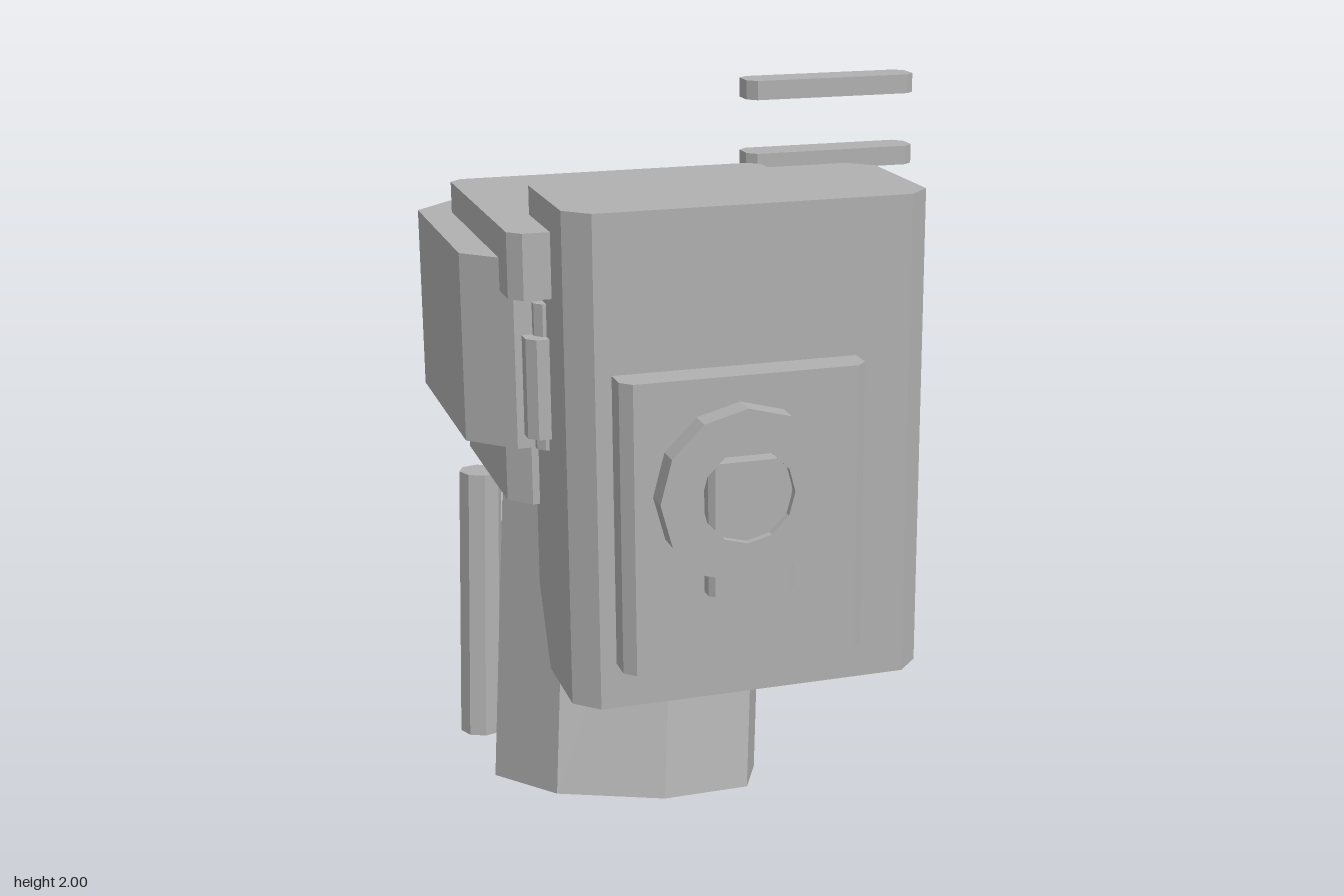
import * as THREE from 'three';

const gray = new THREE.MeshStandardMaterial({ color: 0xb0b0b0, flatShading: true });
gray.name = 'plain gray';

export function createModel() {
  const model = new THREE.Group();
  model.name = 'blockyFist';

  const add = (name, geometry) => {
    const mesh = new THREE.Mesh(geometry, gray);
    mesh.name = name;
    model.add(mesh);
    return mesh;
  };

  // Upright block whose four vertical edges are cut by c
  const block = (name, [x0, x1], [y0, y1], [z0, z1], c) => {
    const outline = [
      [x0 + c, -z1], [x1 - c, -z1], [x1, -z1 + c], [x1, -z0 - c],
      [x1 - c, -z0], [x0 + c, -z0], [x0, -z0 - c], [x0, -z1 + c],
    ].map(([x, y]) => new THREE.Vector2(x, y));
    const geometry = new THREE.ExtrudeGeometry(new THREE.Shape(outline), { depth: y1 - y0, bevelEnabled: false });
    geometry.rotateX(-Math.PI / 2).translate(0, y0, 0);
    return add(name, geometry);
  };

  // Eight-sided rod between two points
  const rod = (name, from, to, radius) => {
    const a = new THREE.Vector3(...from);
    const b = new THREE.Vector3(...to);
    const axis = b.clone().sub(a);
    const mesh = add(name, new THREE.CylinderGeometry(radius, radius, axis.length(), 8));
    mesh.position.copy(a).add(b).multiplyScalar(0.5);
    mesh.quaternion.setFromUnitVectors(new THREE.Vector3(0, 1, 0), axis.normalize());
  };

  // Main blocks
  block('frontSlab', [-0.69, 0.32], [0.53, 1.9], [0.23, 0.73], 0.065);
  block('rearBody', [-0.89, 0.26], [1.2, 1.73], [-0.435, 0.43], 0.12);
  block('topCap', [-0.8, 0.165], [1.64, 1.82], [-0.29, 0.54], 0.035);
  block('lowerBody', [-0.77, 0.14], [1.0, 1.24], [-0.33, 0.33], 0.06);
  block('sideBlock', [-0.75, 0.1], [1.24, 1.52], [-0.1, 0.5], 0.025);
  block('innerBlock', [-0.72, 0.1], [1.2, 1.61], [-0.1, 0.47], 0.02);

  // Front plate with a latch and a twelve-sided ring
  block('frontPlate', [-0.58, 0.1], [0.66, 1.47], [0.7, 0.83], 0.03);
  block('latch', [-0.36, -0.12], [0.88, 1.25], [0.8, 0.88], 0.015);
  const circle = (r) => Array.from({ length: 12 }, (_, i) =>
    new THREE.Vector2(r * Math.cos(i * Math.PI / 6), r * Math.sin(i * Math.PI / 6)));
  const ringShape = new THREE.Shape(circle(0.24));
  ringShape.holes.push(new THREE.Path(circle(0.13).reverse()));
  const ring = add('frontRing', new THREE.ExtrudeGeometry(ringShape, { depth: 0.08, bevelEnabled: false }));
  ring.position.set(-0.26, 1.16, 0.82);

  // Slanted column and thin rod beside it
  rod('column', [-0.43, 0.1, 0.257], [-0.322, 1.08, 0.024], 0.403);
  rod('sideRod', [-0.785, 0.1, -0.175], [-0.753, 0.94, -0.205], 0.065);

  // Four detached bars
  for (let i = 0; i < 4; i++) {
    const y = 1.215 + i * 0.2405;
    block('bar' + (i + 1), [0.295, 0.885], [y, y + 0.063], [-0.9, -0.77], 0.03);
  }

  return model;
}
